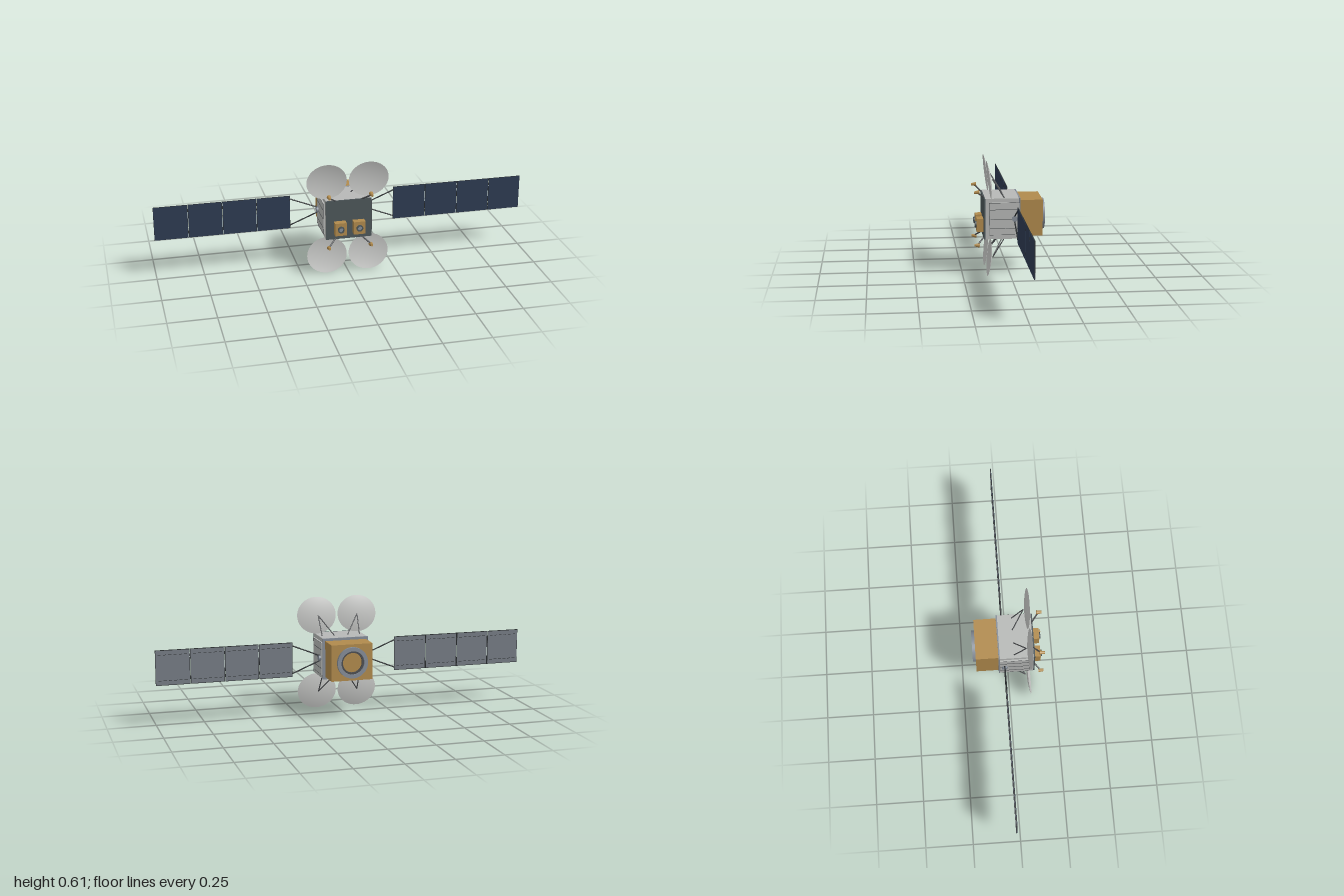
import * as THREE from 'three';

const mat = (name, color, side = THREE.FrontSide) => {
  const m = new THREE.MeshStandardMaterial({ color, side });
  m.name = name;
  return m;
};

export function createModel() {
  const grey = mat('body grey', 0xb6b8b6);
  const dishGrey = mat('dish grey', 0xc6c7c5, THREE.DoubleSide);
  const slate = mat('front slate', 0x4c5659);
  const gold = mat('gold foil', 0xb08a4c);
  const steel = mat('steel blue', 0x858d98);
  const dark = mat('dark frame', 0x2b2f31);
  const strutGrey = mat('strut grey', 0x4b4d50);
  const navy = mat('solar navy', 0x2d3b52);
  const backGrey = mat('panel back grey', 0x757b84);

  const model = new THREE.Group();
  model.name = 'satellite';
  const CY = 0.304; // height of the body axis
  const UP = new THREE.Vector3(0, 1, 0);

  const add = (parent, name, geo, material, x = 0, y = 0, z = 0) => {
    const m = new THREE.Mesh(geo, material);
    m.name = name;
    m.position.set(x, y, z);
    parent.add(m);
    return m;
  };
  const box = (parent, name, material, w, h, d, x, y, z) =>
    add(parent, name, new THREE.BoxGeometry(w, h, d), material, x, y, z);
  // Tapered rod between two points
  const rod = (parent, name, material, a, b, ra = 0.003, rb = ra, sides = 8) => {
    const p = new THREE.Vector3(...a), q = new THREE.Vector3(...b);
    const dir = q.clone().sub(p);
    const m = add(parent, name, new THREE.CylinderGeometry(rb, ra, dir.length(), sides), material);
    m.position.copy(p).add(q).multiplyScalar(0.5);
    m.quaternion.setFromUnitVectors(UP, dir.normalize());
    return m;
  };
  // Flat ring facing z, with square section
  const ring = (outer, inner, depth) => new THREE.LatheGeometry([
    [inner, -depth / 2], [outer, -depth / 2], [outer, -depth / 2], [outer, depth / 2],
    [outer, depth / 2], [inner, depth / 2], [inner, depth / 2], [inner, -depth / 2],
  ].map(p => new THREE.Vector2(...p)), 40).rotateX(Math.PI / 2);

  // Body, front plate, rear trim
  box(model, 'body', grey, 0.244, 0.216, 0.178, 0, CY, 0.042);
  box(model, 'frontPlate', slate, 0.244, 0.216, 0.007, 0, CY, 0.1345);
  box(model, 'rearTrim', steel, 0.248, 0.218, 0.007, 0, CY, -0.05);

  // Propulsion section with engine ring
  box(model, 'rearModule', gold, 0.222, 0.192, 0.119, 0, CY, -0.1125);
  add(model, 'rearRing', ring(0.082, 0.062, 0.016), steel, 0, CY, -0.18);
  add(model, 'rearInnerRing', ring(0.063, 0.052, 0.008), strutGrey, 0, CY, -0.176);

  // Front instruments
  for (const s of [-1, 1]) {
    const g = new THREE.Group();
    g.name = 'instrument';
    g.position.set(s * 0.05, 0.2625, 0);
    model.add(g);
    box(g, 'instrumentBox', gold, 0.062, 0.07, 0.035, 0, 0, 0.1555);
    add(g, 'lensRing', ring(0.0175, 0.011, 0.008), slate, 0, 0, 0.177);
    add(g, 'lens', new THREE.CylinderGeometry(0.0115, 0.0115, 0.003, 24).rotateX(Math.PI / 2), steel, 0, 0, 0.1745);
  }

  for (const s of [-1, 1]) {
    // Side radiator with ribs and outline
    const r = new THREE.Group();
    r.name = 'radiator';
    model.add(r);
    box(r, 'radiatorPanel', grey, 0.008, 0.172, 0.157, s * 0.126, CY + 0.001, 0.0325);
    for (const y of [-0.05, 0, 0.05])
      box(r, 'radiatorRib', strutGrey, 0.003, 0.0022, 0.153, s * 0.1305, CY + y, 0.0305);
    for (const y of [-0.085, 0.085])
      box(r, 'radiatorEdge', strutGrey, 0.002, 0.0015, 0.157, s * 0.1298, CY + y + 0.001, 0.0325);
    box(r, 'radiatorEdge', strutGrey, 0.002, 0.17, 0.0015, s * 0.1298, CY + 0.001, 0.1105);

    // Solar wing: hub, yoke and four panels
    const w = new THREE.Group();
    w.name = 'solarWing';
    w.position.set(0, CY + 0.001, -0.022);
    model.add(w);
    add(w, 'hub', new THREE.CylinderGeometry(0.015, 0.015, 0.018, 20).rotateZ(Math.PI / 2), steel, s * 0.131);
    for (const t of [-1, 1])
      rod(w, 'yokeStrut', dark, [s * 0.128, t * 0.012, 0], [s * 0.283, t * 0.075, 0], 0.0035);
    for (let i = 0; i < 4; i++) {
      const x = s * (0.37 + i * 0.18);
      box(w, 'panelFrame', dark, 0.177, 0.184, 0.004, x, 0, 0);
      box(w, 'solarCells', navy, 0.175, 0.182, 0.001, x, 0, 0.0023);
      box(w, 'panelBack', backGrey, 0.173, 0.178, 0.001, x, 0, -0.0023);
      // Dashed stiffeners on the back
      for (const t of [-1, 1])
        for (let k = 0; k < 6; k++)
          box(w, 'backDash', dark, 0.016, 0.0025, 0.001, x - 0.0675 + k * 0.027, t * 0.067, -0.003);
      if (i < 3)
        for (const t of [-1, 1])
          box(w, 'hinge', dark, 0.006, 0.014, 0.006, x + s * 0.09, t * 0.06, 0);
    }
  }

  // Shallow elliptical dish, opening toward +z
  const profile = [];
  for (let i = 0; i <= 10; i++) profile.push(new THREE.Vector2(i / 10, (i / 10) ** 2 - 1));
  const dishGeo = new THREE.LatheGeometry(profile, 40).rotateX(Math.PI / 2).scale(0.107, 0.0985, 0.0125);

  for (const s of [-1, 1]) for (const t of [-1, 1]) {
    const g = new THREE.Group();
    g.name = 'antenna';
    g.position.y = CY;
    model.add(g);
    const d = add(g, 'dish', dishGeo, dishGrey, s * 0.112, t * 0.206, 0.1115);
    d.rotation.x = t * 0.107;
    // V-shaped supports behind the dish
    for (const x of [0.035, 0.103])
      rod(g, 'dishStrut', strutGrey, [s * x, t * 0.105, 0.028], [s * 0.108, t * 0.207, 0.091], 0.003);
    // Feed horn on its boom
    rod(g, 'feedBoom', strutGrey, [s * 0.07, t * 0.105, 0.132], [s * 0.112, t * 0.138, 0.17], 0.004);
    rod(g, 'feedHorn', gold, [s * 0.113, t * 0.14, 0.188], [s * 0.112, t * 0.143, 0.161], 0.0065, 0.011, 20);
  }
  return model;
}
